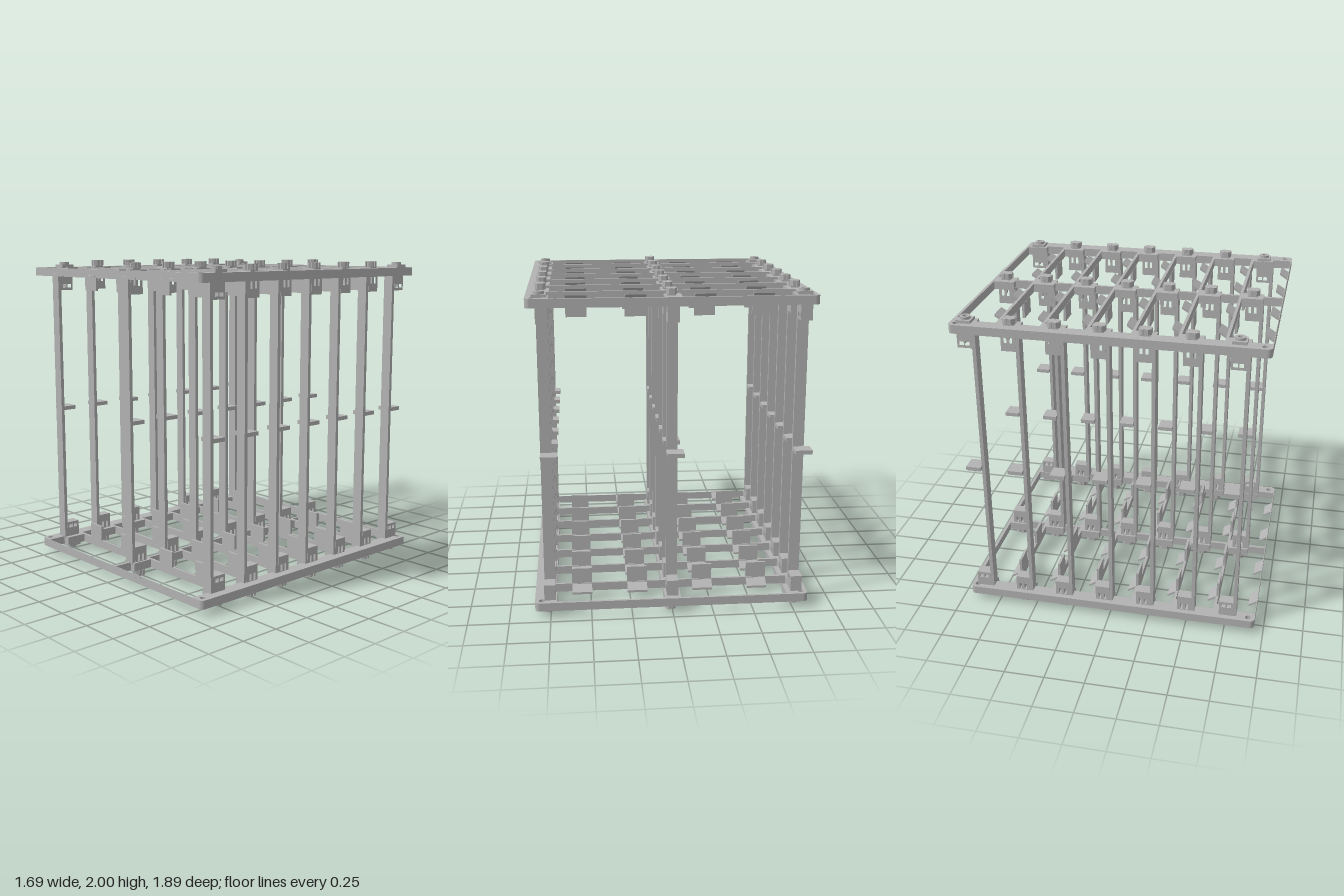
import * as THREE from 'three';

export function createModel() {
  const root = new THREE.Group();
  root.name = 'rackFrame';
  const grey = new THREE.MeshStandardMaterial({ color: 0xb2b2b2 });
  grey.name = 'grey plastic';

  const PITCH = 0.269, BAYS = 7;
  const barZ = i => -0.935 + i * PITCH;
  const columns = [-0.776, -0.002, 0.753];
  const plateX = [-0.56, -0.21, 0.205, 0.555];
  const bays = [...Array(BAYS).keys()];

  const add = (parent, geo, name, x = 0, y = 0, z = 0) => {
    const m = new THREE.Mesh(geo, grey);
    m.name = name;
    m.position.set(x, y, z);
    parent.add(m);
    return m;
  };
  const poly = (pts, C = THREE.Path) => new C(pts.map(p => new THREE.Vector2(p[0], p[1])));
  const rect = (x0, y0, x1, y1) => [[x0, y0], [x1, y0], [x1, y1], [x0, y1]];
  const circle = (x, y, r) => new THREE.Path().absarc(x, y, r, 0, Math.PI * 2, true);
  // plan outline (x, z), centred on its height
  const slab = (shape, h) => new THREE.ExtrudeGeometry(shape, { depth: h, bevelEnabled: false, curveSegments: 8 })
    .translate(0, 0, -h / 2).rotateX(Math.PI / 2);
  // side outline (z, y), centred on its width
  const side = (shape, w) => new THREE.ExtrudeGeometry(shape, { depth: w, bevelEnabled: false })
    .translate(0, 0, -w / 2).rotateY(-Math.PI / 2);

  // Frame: rounded outline, two stepped windows per bay, corner screw holes
  const W = 0.845, D = 0.943, R = 0.03;
  const outline = new THREE.Shape();
  outline.absarc(W - R, D - R, R, 0, Math.PI / 2);
  outline.absarc(-W + R, D - R, R, Math.PI / 2, Math.PI);
  outline.absarc(-W + R, -D + R, R, Math.PI, Math.PI * 1.5);
  outline.absarc(W - R, -D + R, R, Math.PI * 1.5, Math.PI * 2);
  for (const i of bays) {
    const a = barZ(i) + 0.009, b = barZ(i + 1) - 0.009, p = barZ(i) + 0.142;
    for (const [padL, railL, padR, railR] of [[-0.71, -0.757, -0.052, -0.01], [0.048, 0.01, 0.712, 0.757]]) {
      outline.holes.push(poly([[padL, a], [padR, a], [padR, p], [railR, p],
        [railR, b], [railL, b], [railL, p], [padL, p]]));
    }
  }
  for (const x of [-0.806, 0.803]) for (const z of [-0.905, 0.9]) outline.holes.push(circle(x, z, 0.018));
  const frameGeo = slab(outline, 0.053);

  // Octagonal snap head with a notch on each side
  const notched = [];
  for (const [c, s] of [[1, 0], [0, 1], [-1, 0], [0, -1]]) {
    for (const [u, v] of [[0.035, -0.018], [0.035, -0.005], [0.027, -0.005], [0.027, 0.005], [0.035, 0.005], [0.035, 0.018]]) {
      notched.push([(u * c - v * s) * 0.9, (u * s + v * c) * 1.1]);
    }
  }
  const headGeo = slab(poly(notched, THREE.Shape), 0.035);

  // Corner washer and ring
  const washer = poly(rect(-0.043, -0.043, 0.043, 0.043), THREE.Shape);
  washer.holes.push(circle(0, 0, 0.016));
  const washerGeo = slab(washer, 0.018);
  const ring = new THREE.Shape().absarc(0, 0, 0.032, 0, Math.PI * 2);
  ring.holes.push(circle(0, 0, 0.016));
  const ringGeo = slab(ring, 0.017);

  for (const top of [false, true]) {
    const end = new THREE.Group();
    end.name = top ? 'topFrame' : 'bottomFrame';
    root.add(end);
    const Y = v => (top ? 2 - v : v);
    add(end, frameGeo, 'frame', 0, Y(0.0695));

    // Socket block outlines relative to the snap head
    const makeBlock = holes => {
      const s = poly(rect(-0.045, Y(0.09), 0.046, Y(0.195)), THREE.Shape);
      for (const h of holes) s.holes.push(poly(rect(h[0], Y(h[1]), h[2], Y(h[3]))));
      return side(s, 0.07);
    };
    const cornerBlock = makeBlock([[-0.031, 0.155, -0.004, 0.178], [0.004, 0.155, 0.031, 0.178]]);
    const clipBlock = makeBlock([[-0.025, 0.1, -0.009, 0.143], [0.009, 0.1, 0.025, 0.143]]);

    for (const i of bays) {
      const z = barZ(i) + 0.078;
      columns.forEach((x, c) => {
        const corner = c !== 1 && (i === 0 || i === BAYS - 1);
        add(end, corner ? cornerBlock : clipBlock, 'socketBlock', x, 0, z);
        if (corner) {
          add(end, washerGeo, 'cornerWasher', x + 0.011, Y(0.034), z);
          add(end, ringGeo, 'cornerRing', x + 0.011, Y(0.0175), z);
        } else {
          add(end, headGeo, 'snapHead', x + 0.011, Y(0.0265 - 0.009), z);
          add(end, new THREE.BoxGeometry(0.05, 0.012, 0.06), 'snapStem', x + 0.011, Y(0.038), z);
        }
      });
    }

    // Guide plates on the inner bars and sloped ramps behind every bar
    const ramp = side(poly([[-0.004, Y(0.095)], [-0.062, Y(0.058)], [-0.062, Y(0.044)], [-0.004, Y(0.08)]], THREE.Shape), 0.126);
    for (let i = 1; i <= BAYS; i++) for (const x of plateX) {
      add(end, ramp, 'ramp', x, 0, barZ(i));
      if (i < BAYS) add(end, new THREE.BoxGeometry(0.126, 0.1, 0.016), 'guidePlate', x, Y(0.145), barZ(i) + 0.003);
    }
  }

  // Flat uprights with a small shelf tab behind each
  const uprights = new THREE.Group();
  uprights.name = 'uprights';
  root.add(uprights);
  const postGeo = new THREE.BoxGeometry(0.068, 1.83, 0.022);
  const tabGeo = new THREE.BoxGeometry(0.103, 0.025, 0.094);
  for (const i of bays) for (const x of columns) {
    const z = barZ(i) + 0.134;
    add(uprights, postGeo, 'post', x, 1, z);
    add(uprights, tabGeo, 'shelfTab', x - 0.0175, 1.002, z - 0.054);
  }
  return root;
}
